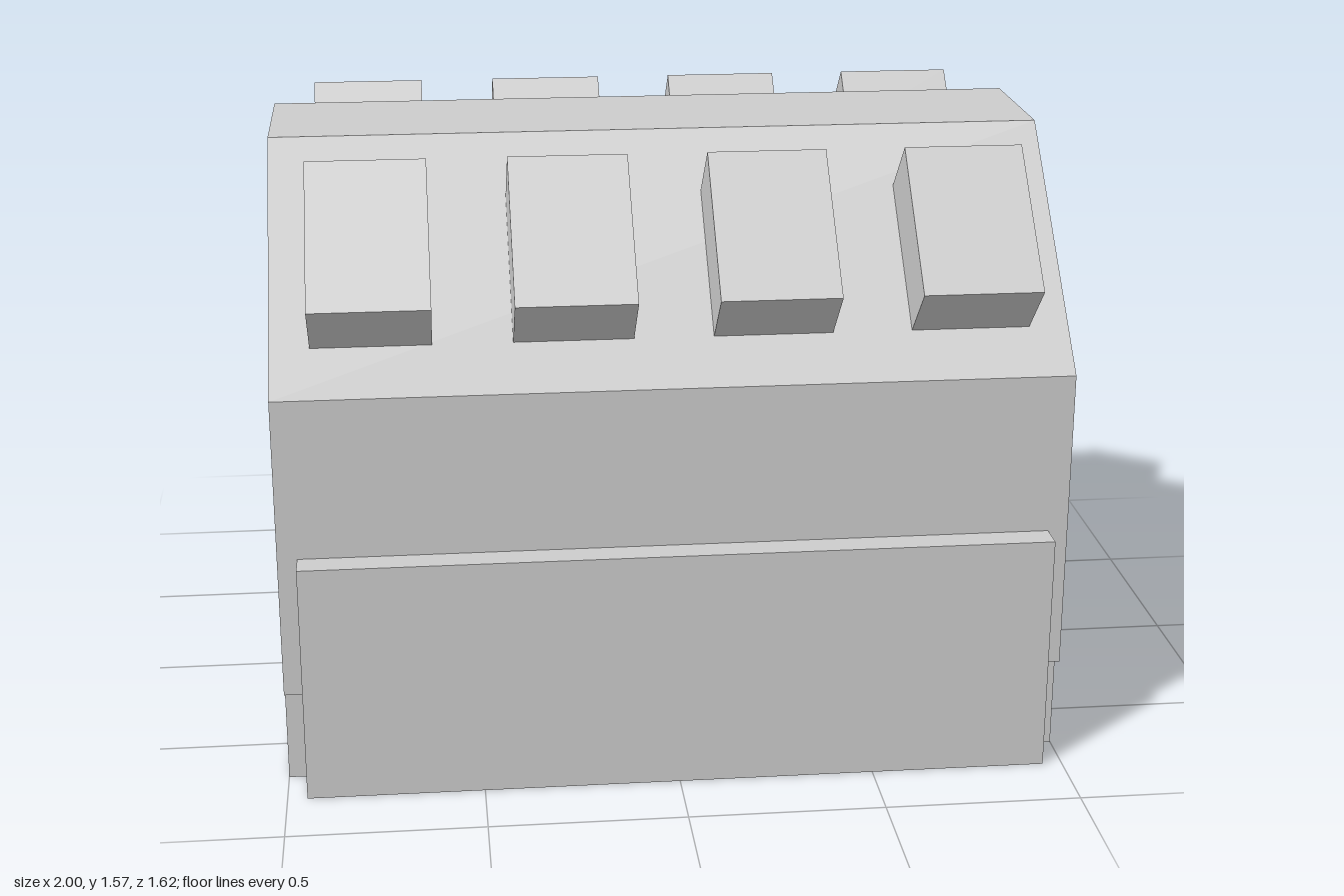
import * as THREE from 'three';

export function createModel() {
  const model = new THREE.Group();
  const grey = new THREE.MeshStandardMaterial({ color: 0xcccccc });
  grey.name = 'light grey';

  // Extrudes a (z, y) side profile across the width, from x0 to x1
  function prism(name, points, x0, x1) {
    const shape = new THREE.Shape(points.map(([z, y]) => new THREE.Vector2(z, y)));
    const geometry = new THREE.ExtrudeGeometry(shape, { depth: x1 - x0, bevelEnabled: false });
    geometry.rotateY(-Math.PI / 2).translate(x1, 0, 0);
    const mesh = new THREE.Mesh(geometry, grey);
    mesh.name = name;
    model.add(mesh);
  }

  function box(name, x0, x1, y0, y1, z0, z1) {
    const mesh = new THREE.Mesh(new THREE.BoxGeometry(x1 - x0, y1 - y0, z1 - z0), grey);
    mesh.position.set((x0 + x1) / 2, (y0 + y1) / 2, (z0 + z1) / 2);
    mesh.name = name;
    model.add(mesh);
  }

  // Walls and roof as one folded shell, open at the ends
  const outer = [[0.735, 0.255], [0.735, 1.04], [0.2, 1.57], [-0.2, 1.57], [-0.73, 1.04], [-0.73, 0.25]];
  const inner = [[0.685, 0.25], [0.685, 1.02], [0.2, 1.5], [-0.2, 1.5], [-0.685, 1.02], [-0.685, 0.25]];
  prism('wallAndRoofShell', [...outer, ...inner.slice().reverse()], -1, 1);

  // Recessed end walls, closing the shell
  prism('endWalls', inner, -0.963, 0.963);

  // Base and the low slabs along the front and back
  box('base', -1, 1, 0, 0.25, -0.725, 0.69);
  box('frontSlab', -0.95, 0.95, 0, 0.625, 0.68, 0.81);
  box('backSlab', -0.95, 0.95, 0, 0.625, -0.81, -0.68);

  // Four tilted blocks on each roof slope, sunk slightly into it
  const block = [[0.467, 1.57], [0.765, 1.27], [0.633, 1.14], [0.613, 1.12], [0.313, 1.418], [0.333, 1.438]];
  for (const side of [1, -1]) {
    for (const x of [-0.75, -0.25, 0.25, 0.75]) {
      prism('roofBlock', block.map(([z, y]) => [z * side, y]), x - 0.15, x + 0.15);
    }
  }
  return model;
}
